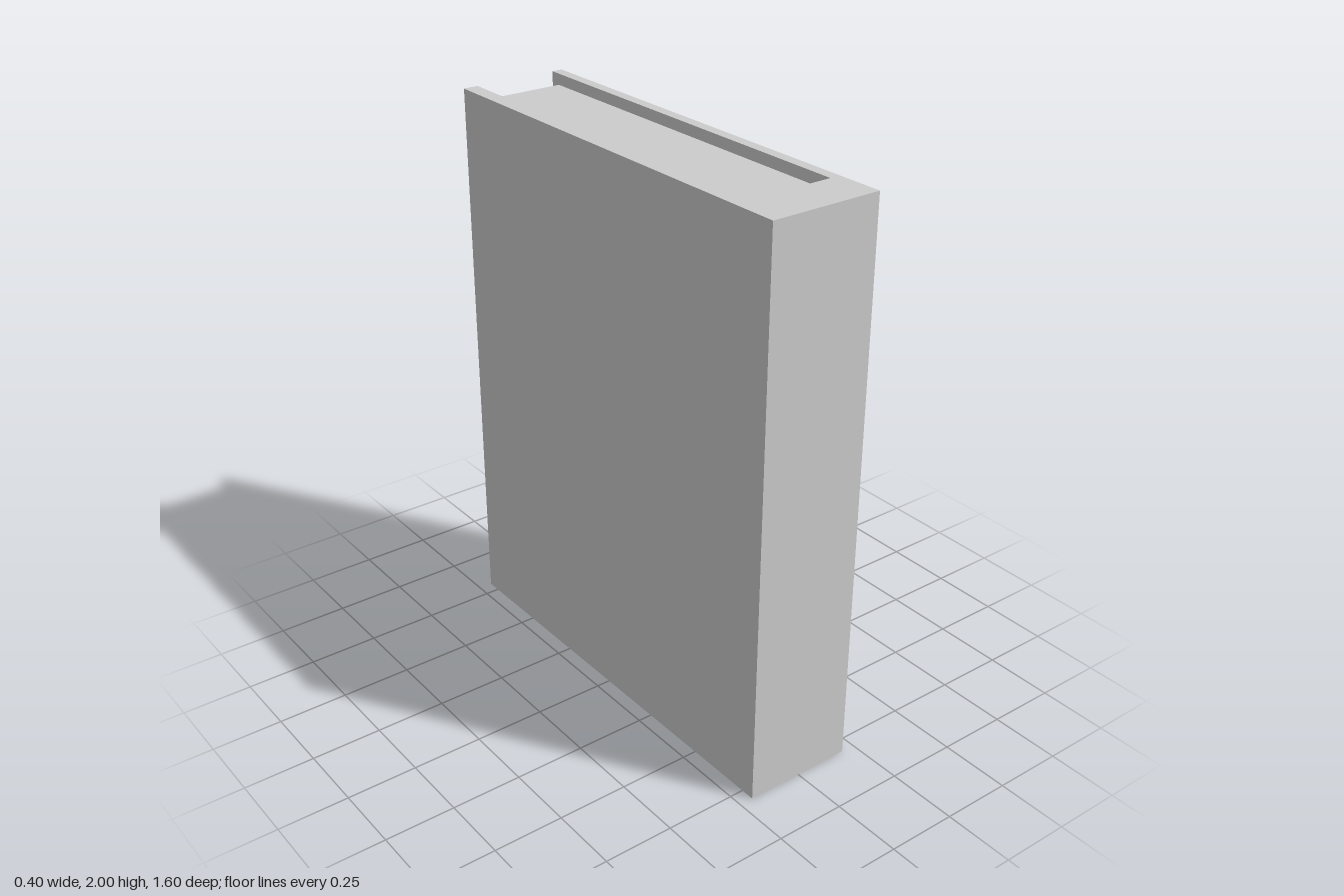
import * as THREE from 'three';

// Extrudes a plan outline of [x, z] points upwards from y0 to y1
function extrudePlan(points, y0, y1) {
  const shape = new THREE.Shape(points.map(([x, z]) => new THREE.Vector2(x, -z)));
  const geometry = new THREE.ExtrudeGeometry(shape, { depth: y1 - y0, bevelEnabled: false });
  geometry.rotateX(-Math.PI / 2);
  geometry.translate(0, y0, 0);
  return geometry;
}

export function createModel() {
  const model = new THREE.Group();
  model.name = 'book';
  const grey = new THREE.MeshStandardMaterial({ color: 0xcccccc });
  grey.name = 'plain grey';

  const innerLeft = 0.162, innerRight = -0.146, spineInner = 0.635;

  // Cover: two boards joined by a thick spine at the front, open at the back
  const cover = new THREE.Mesh(extrudePlan([
    [-0.2, 0.8], [0.2, 0.8], [0.2, -0.8], [innerLeft, -0.8],
    [innerLeft, spineInner], [innerRight, spineInner],
    [innerRight, -0.8], [-0.2, -0.8],
  ], 0, 2), grey);
  cover.name = 'cover';
  model.add(cover);

  // Page block: set in from the cover at the top, bottom and back
  const lap = 0.002, inset = 0.04, pagesBack = -0.762;
  const pages = new THREE.Mesh(extrudePlan([
    [innerRight - lap, spineInner + lap], [innerLeft + lap, spineInner + lap],
    [innerLeft + lap, pagesBack], [innerRight - lap, pagesBack],
  ], inset, 2 - inset), grey);
  pages.name = 'pages';
  model.add(pages);

  return model;
}
